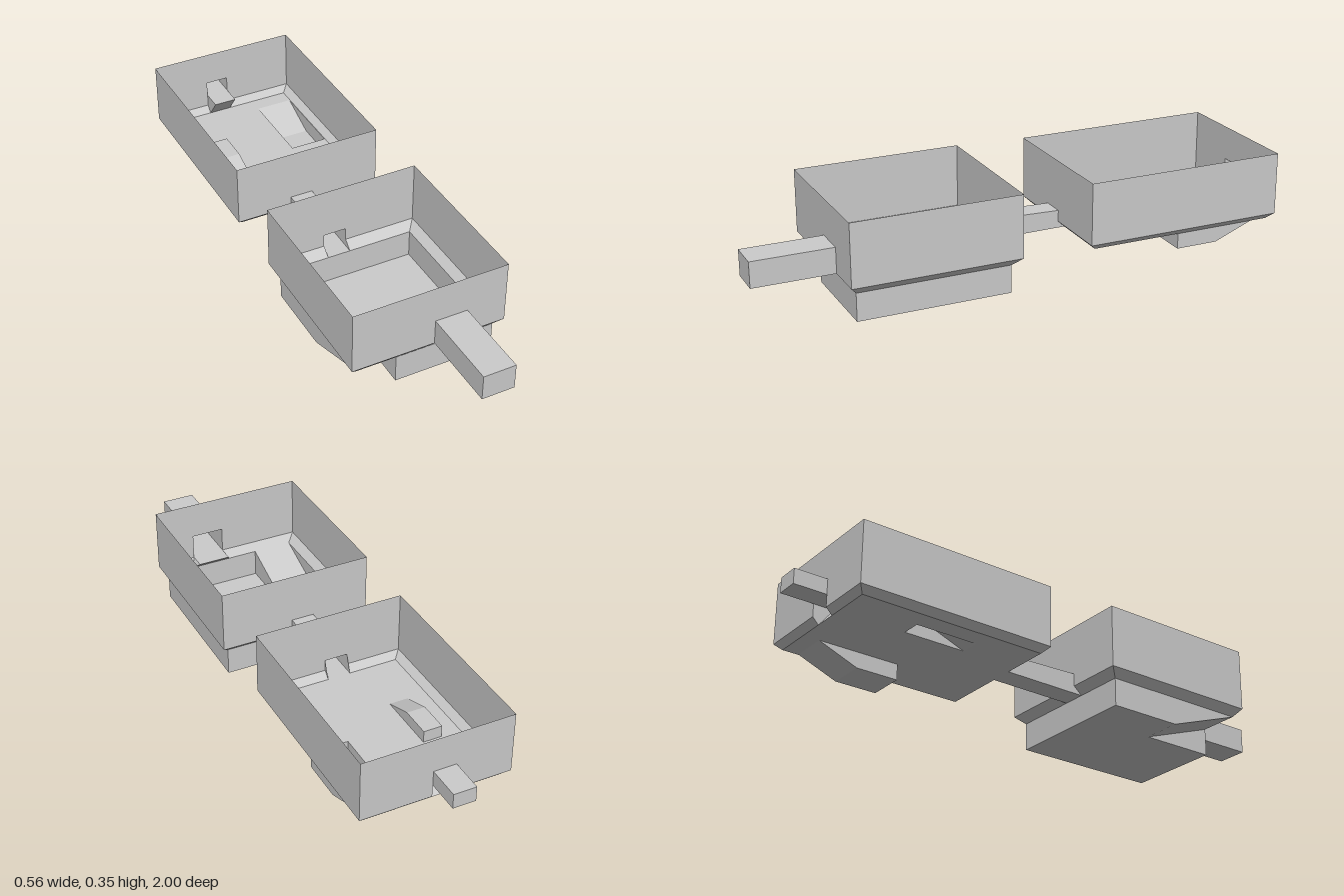
import * as THREE from 'three';

const material = new THREE.MeshStandardMaterial({ color: 0xcccccc, flatShading: true, side: THREE.DoubleSide });

// Sheet-metal part made of convex panels, each a loop of [x, y, z] corners
function sheet(name, panels) {
  const pos = [];
  for (const p of panels)
    for (let i = 1; i < p.length - 1; i++) pos.push(...p[0], ...p[i], ...p[i + 1]);
  const geo = new THREE.BufferGeometry();
  geo.setAttribute('position', new THREE.Float32BufferAttribute(pos, 3));
  geo.computeVertexNormals();
  const mesh = new THREE.Mesh(geo, material);
  mesh.name = name;
  return mesh;
}

const rect = (Type, a0, a1, b0, b1) => new Type([[a0, b0], [a1, b0], [a1, b1], [a0, b1]].map(p => new THREE.Vector2(...p)));

// Upright end wall at z, with a slot from the rim up to slot.top
function endWall(name, t, z, s) {
  const pts = [[-t.x, t.rim], [s.x0, s.rimY], [s.x0, s.top], [s.x1, s.top], [s.x1, s.rimY], [t.x, t.rim], [t.x, t.top], [-t.x, t.top]];
  const geo = new THREE.ShapeGeometry(new THREE.Shape(pts.map(p => new THREE.Vector2(...p))));
  const mesh = new THREE.Mesh(geo.translate(0, 0, z), material);
  mesh.name = name;
  return mesh;
}

// Floor with rectangular openings [x0, x1, z0, z1]
function floorPlate(t, openings) {
  const shape = rect(THREE.Shape, -t.fx, t.fx, -t.fz1, -t.fz0);
  for (const [x0, x1, z0, z1] of openings) shape.holes.push(rect(THREE.Path, x0, x1, -z1, -z0));
  const mesh = new THREE.Mesh(new THREE.ShapeGeometry(shape).rotateX(-Math.PI / 2).translate(0, t.floor, 0), material);
  mesh.name = 'floor';
  return mesh;
}

// Open tray: walls, and a bevelled skirt that is broken at the end slots
function tray(name, t, frontSlot, backSlot) {
  const g = new THREE.Group();
  g.name = name;
  frontSlot.rimY = backSlot.rimY = t.rim;
  const skirt = [], sides = [];
  for (const s of [-1, 1]) {
    sides.push([[s * t.x, t.rim, t.z0], [s * t.x, t.rim, t.z1], [s * t.x, t.top, t.z1], [s * t.x, t.top, t.z0]]);
    skirt.push([[s * t.x, t.rim, t.z0], [s * t.x, t.rim, t.z1], [s * t.fx, t.floor, t.fz1], [s * t.fx, t.floor, t.fz0]]);
  }
  for (const [z, fz, s] of [[t.z1, t.fz1, frontSlot], [t.z0, t.fz0, backSlot]]) {
    skirt.push([[-t.x, t.rim, z], [s.x0, t.rim, z], [s.x0 - s.flare, t.floor, fz], [-t.fx, t.floor, fz]]);
    skirt.push([[s.x1, t.rim, z], [t.x, t.rim, z], [t.fx, t.floor, fz], [s.x1 + s.flare, t.floor, fz]]);
  }
  g.add(sheet('sideWalls', sides), sheet('skirt', skirt),
    endWall('frontWall', t, t.z1, frontSlot), endWall('backWall', t, t.z0, backSlot));
  return g;
}

// Hollow coupler through an end wall, with its plate reaching inside over a slanted recess
function coupler(name, t, s, wall, floorZ, inner, outer) {
  const { x0, x1, base, top, flare } = s;
  const panels = [
    [[x0, base, inner], [x1, base, inner], [x1, base, outer], [x0, base, outer]],
    [[x0, top, wall], [x1, top, wall], [x1, top, outer], [x0, top, outer]],
    [[x0, base, outer], [x1, base, outer], [x1, top, outer], [x0, top, outer]],
    [[x0, base, inner], [x1, base, inner], [x1 + flare, t.floor, floorZ], [x0 - flare, t.floor, floorZ]],
  ];
  for (const [x, f] of [[x0, -flare], [x1, flare]]) {
    panels.push([[x, base, wall], [x, base, outer], [x, top, outer], [x, top, wall]]);
    const cheek = [[x, base, wall], [x, base, inner], [x + f, t.floor, floorZ]];
    if (base > t.rim) cheek.push([x, t.rim, wall]);
    panels.push(cheek);
  }
  return sheet(name, panels);
}

// Pocket in the floor: upright end at zEnd, level part to zBend, then a ramp to zRamp
function pocket(name, x0, x1, floor, depthY, zEnd, zBend, zRamp) {
  const across = (ya, za, yb, zb) => [[x0, ya, za], [x1, ya, za], [x1, yb, zb], [x0, yb, zb]];
  const cheek = x => [[x, floor, zEnd], [x, depthY, zEnd], [x, depthY, zBend], [x, floor, zRamp]];
  return sheet(name, [across(floor, zEnd, depthY, zEnd), across(depthY, zEnd, depthY, zBend),
    across(depthY, zBend, floor, zRamp), cheek(x0), cheek(x1)]);
}

export function createModel() {
  const model = new THREE.Group();
  model.name = 'linkedTrays';
  const front = { x: 0.278, z0: 0.11, z1: 0.712, top: 0.354, rim: 0.128, floor: 0.1, fx: 0.25, fz0: 0.142, fz1: 0.688 };
  const rear = { x: 0.27, z0: -0.88, z1: -0.148, top: 0.348, rim: 0.125, floor: 0.102, fx: 0.246, fz0: -0.858, fz1: -0.172 };
  const link = { x0: -0.068, x1: 0.015, flare: 0 };
  const frontSlot = { x0: 0.018, x1: 0.135, base: 0.128, top: 0.22, flare: 0.016 };
  const backSlot = { x0: -0.066, x1: 0.016, base: 0.17, top: 0.225, flare: 0 };

  // Front tray with its deep well
  const frontTray = tray('frontTray', front, frontSlot, { ...link, top: 0.174 });
  frontTray.add(coupler('frontCoupler', front, frontSlot, front.z1, front.fz1, 0.655, 1));
  const { fx, fz0, fz1, floor } = front, step = -0.107, bend = 0.41;
  frontTray.add(sheet('well', [
    [[-fx, 0, fz0], [fx, 0, fz0], [fx, floor, fz0], [-fx, floor, fz0]],
    [[fx, 0, fz0], [fx, 0, fz1], [fx, floor, fz1], [fx, floor, fz0]],
    [[step, 0, fz1], [fx, 0, fz1], [fx, floor, fz1], [step, floor, fz1]],
    [[-fx, floor, fz0], [-fx, 0, fz0], [-fx, 0, bend], [-fx, floor, fz1]],
    [[-fx, 0, fz0], [step, 0, fz0], [step, 0, bend], [-fx, 0, bend]],
    [[step, 0, fz0], [fx, 0, fz0], [fx, 0, fz1], [step, 0, fz1]],
  ]), sheet('wellRamp', [
    [[-fx, 0, bend], [step, 0, bend], [step, floor, fz1], [-fx, floor, fz1]],
    [[step, 0, bend], [step, 0, fz1], [step, floor, fz1]],
  ]));

  // Rear tray with a sunken and a raised pocket
  const rearTray = tray('rearTray', rear, { ...link, top: 0.166 }, backSlot);
  rearTray.add(coupler('backCoupler', rear, backSlot, rear.z0, rear.fz0, -0.805, -1),
    floorPlate(rear, [[0.11, 0.244, -0.8, -0.5], [-0.175, -0.107, -0.612, -0.385]]),
    pocket('sunkenPocket', 0.11, 0.244, rear.floor, 0.045, -0.5, -0.655, -0.8),
    pocket('raisedPocket', -0.175, -0.107, rear.floor, 0.145, -0.612, -0.5, -0.385));

  // Hollow link between the trays
  const { x0, x1 } = link;
  const cheek = x => [[x, 0.102, rear.fz1], [x, 0.1, front.fz0], [x, front.rim, front.z0], [x, 0.174, front.z0], [x, 0.166, rear.z1], [x, rear.rim, rear.z1]];
  model.add(frontTray, rearTray, sheet('link', [
    cheek(x0), cheek(x1),
    [[x0, 0.102, rear.fz1], [x1, 0.102, rear.fz1], [x1, 0.1, front.fz0], [x0, 0.1, front.fz0]],
    [[x0, 0.166, rear.z1], [x1, 0.166, rear.z1], [x1, 0.174, front.z0], [x0, 0.174, front.z0]],
  ]));
  return model;
}
